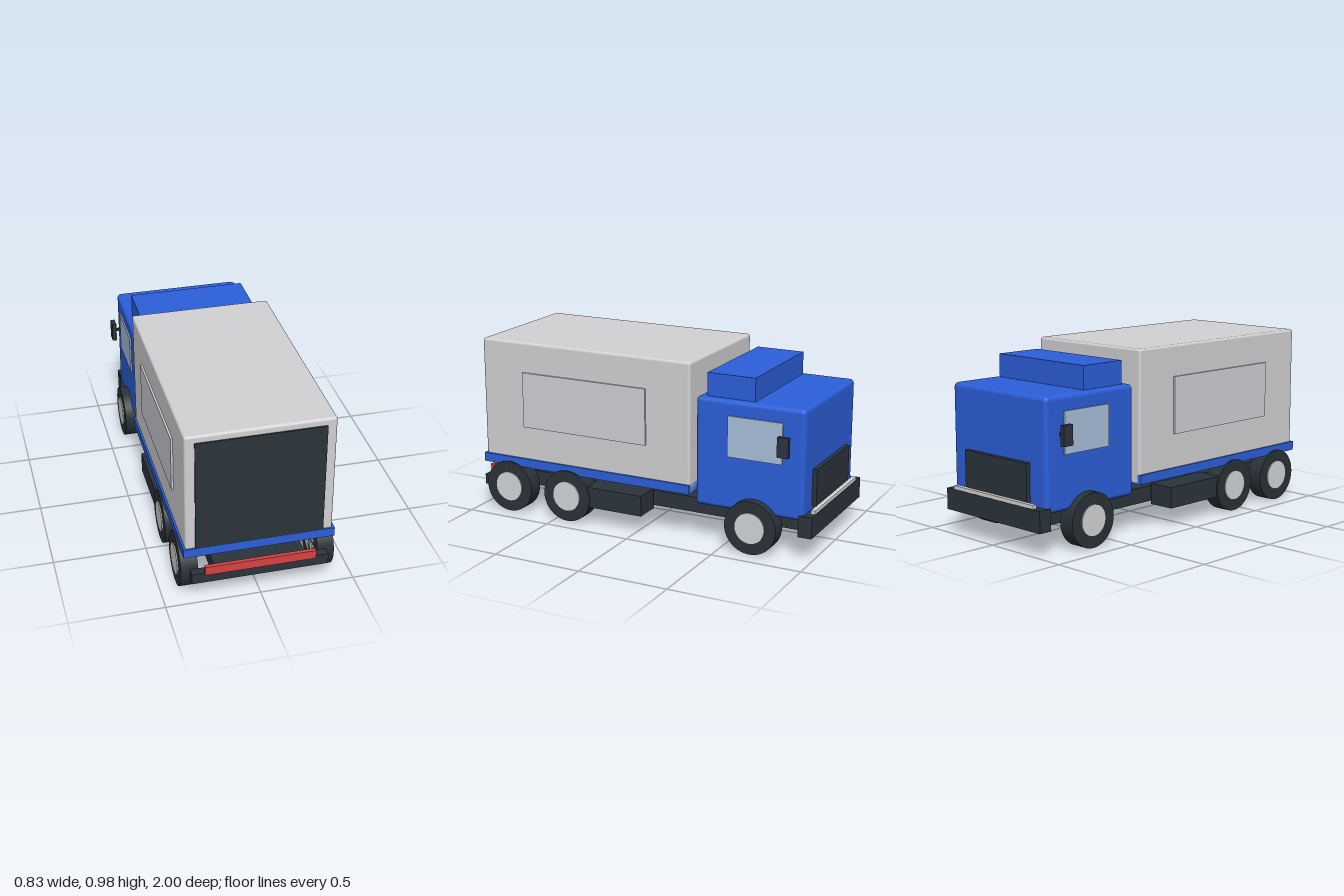
import * as THREE from 'three';
import { RoundedBoxGeometry } from 'three/addons/geometries/RoundedBoxGeometry.js';

function material(name, color) {
  const m = new THREE.MeshStandardMaterial({ color });
  m.name = name;
  return m;
}

export function createModel() {
  const blue = material('cab blue', 0x2b5fd9);
  const grey = material('cargo grey', 0xd2d2d4);
  const panelGrey = material('panel grey', 0xcfd0d6);
  const dark = material('dark trim', 0x2b343b);
  const rubber = material('tyre rubber', 0x2a3238);
  const hubGrey = material('hub silver', 0xd4d5d7);
  const glass = material('window glass', 0xa9c0da);
  const red = material('tail light red', 0xd64242);

  const truck = new THREE.Group();
  truck.name = 'boxTruck';

  // Box given by its [min, max] on each axis; a radius rounds its edges
  function box(name, mat, [x0, x1], [y0, y1], [z0, z1], radius = 0) {
    const size = [x1 - x0, y1 - y0, z1 - z0];
    const geo = radius ? new RoundedBoxGeometry(...size, 3, radius) : new THREE.BoxGeometry(...size);
    const mesh = new THREE.Mesh(geo, mat);
    mesh.name = name;
    mesh.position.set((x0 + x1) / 2, (y0 + y1) / 2, (z0 + z1) / 2);
    truck.add(mesh);
    return mesh;
  }

  // The same box on both sides
  function pair(name, mat, [x0, x1], y, z) {
    box(name + 'Left', mat, [x0, x1], y, z);
    box(name + 'Right', mat, [-x1, -x0], y, z);
  }

  // Chassis and side tanks (the two tanks are offset)
  box('chassis', dark, [-0.24, 0.24], [0.115, 0.2], [-0.885, 0.97]);
  box('tankLeft', dark, [0.25, 0.4], [0.1, 0.215], [-0.035, 0.31]);
  box('tankRight', dark, [-0.4, -0.25], [0.1, 0.215], [-0.09, 0.31]);

  // Cargo body
  box('cargoBox', grey, [-0.385, 0.385], [0.26, 0.98], [-0.318, 0.958], 0.014);
  box('cargoSkirt', blue, [-0.396, 0.396], [0.268, 0.318], [-0.318, 0.967]);
  box('cargoDoor', dark, [-0.334, 0.334], [0.3, 0.942], [0.95, 0.966]);
  pair('sidePanel', panelGrey, [0.38, 0.396], [0.502, 0.812], [-0.06, 0.7]);

  // Cab with roof fairing, side windows and grille
  box('cab', blue, [-0.36, 0.36], [0.21, 0.8], [-0.95, -0.34], 0.024);
  box('roofFairing', blue, [-0.325, 0.325], [0.78, 0.925], [-0.66, -0.39]);
  pair('sideWindow', glass, [0.359, 0.368], [0.5, 0.72], [-0.83, -0.525]);
  box('grille', dark, [-0.24, 0.24], [0.26, 0.46], [-0.974, -0.94]);

  // Mirrors on short arms
  pair('mirrorArm', dark, [0.35, 0.4], [0.6, 0.615], [-0.86, -0.848]);
  pair('mirror', dark, [0.392, 0.417], [0.553, 0.66], [-0.882, -0.82]);

  // Bumpers and lights
  box('cabBumper', dark, [-0.365, 0.365], [0.127, 0.242], [-1, -0.925]);
  box('cabLightBar', hubGrey, [-0.31, 0.31], [0.24, 0.262], [-0.996, -0.972]);
  box('rearBumper', dark, [-0.36, 0.36], [0.117, 0.175], [0.945, 0.993]);
  box('tailLight', red, [-0.292, 0.292], [0.166, 0.215], [0.978, 1]);

  // Wheels: three axles, tyre and hub on each side
  const tyreGeo = new THREE.CylinderGeometry(0.145, 0.145, 0.09, 40).rotateZ(Math.PI / 2);
  const hubGeo = new THREE.CylinderGeometry(0.083, 0.083, 0.096, 32).rotateZ(Math.PI / 2);
  for (const z of [-0.675, 0.425, 0.8]) {
    for (const side of [-1, 1]) {
      const wheel = new THREE.Group();
      wheel.name = 'wheel';
      const tyre = new THREE.Mesh(tyreGeo, rubber);
      tyre.name = 'tyre';
      const hub = new THREE.Mesh(hubGeo, hubGrey);
      hub.name = 'hub';
      hub.position.x = side * 0.003;
      wheel.add(tyre, hub);
      wheel.position.set(side * 0.361, 0.145, z);
      truck.add(wheel);
    }
  }
  return truck;
}
